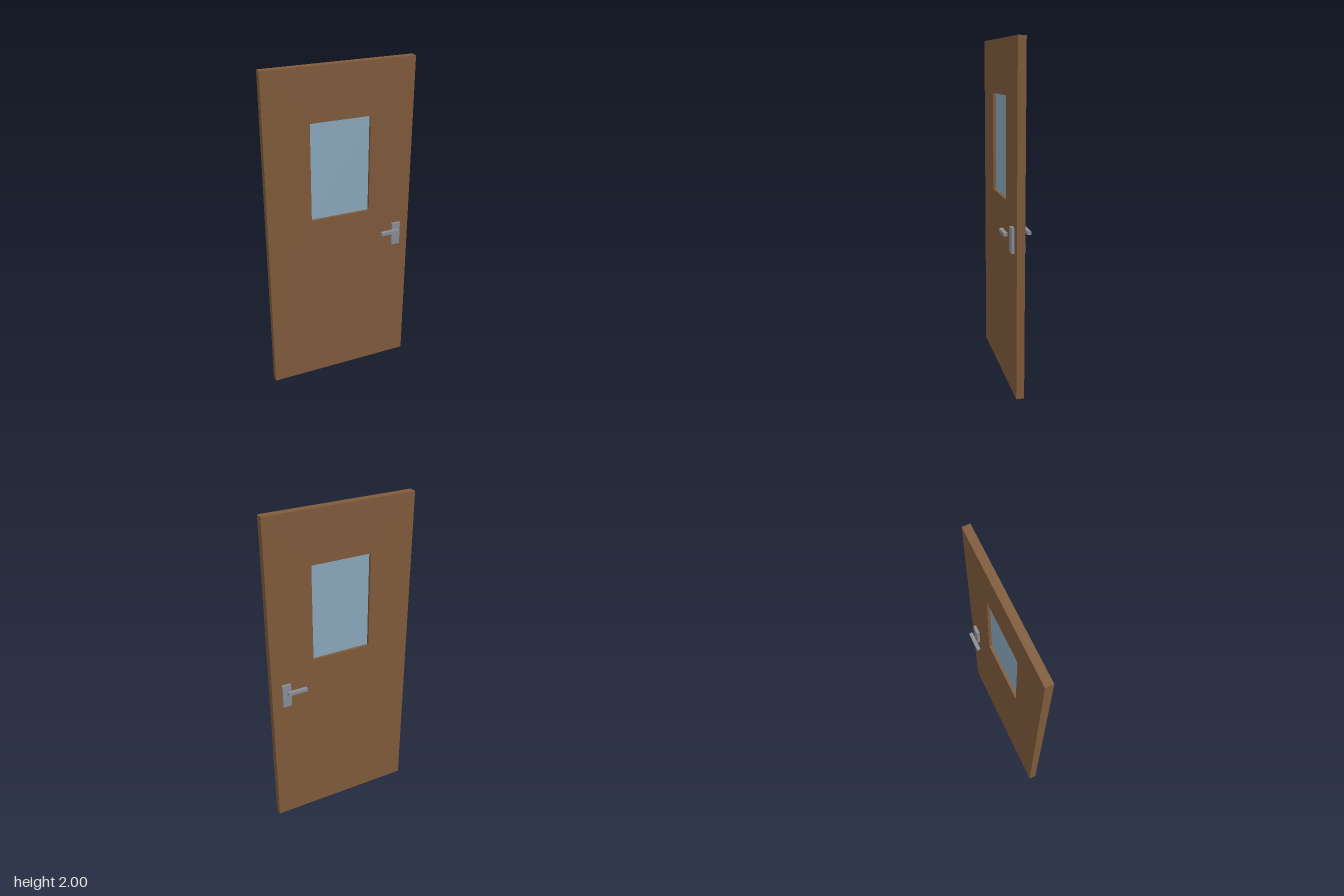
import * as THREE from 'three';

const material = (name, color) => {
  const m = new THREE.MeshStandardMaterial({ color });
  m.name = name;
  return m;
};

export function createModel() {
  const wood = material('wood', 0x805b3b);
  const glass = material('glass', 0x8aa9be);
  const metal = material('metal', 0x8b8d96);

  const door = new THREE.Group();
  door.name = 'door';

  const addBox = (name, mat, size, position) => {
    const mesh = new THREE.Mesh(new THREE.BoxGeometry(...size), mat);
    mesh.name = name;
    mesh.position.set(...position);
    door.add(mesh);
  };

  // Door leaf with a rectangular window opening
  const width = 0.903, height = 2, depth = 0.046;
  const paneWidth = 0.365, paneBottom = 1.1, paneTop = 1.688;
  const rectangle = (target, w, y0, y1) => {
    target.moveTo(-w / 2, y0);
    target.lineTo(w / 2, y0);
    target.lineTo(w / 2, y1);
    target.lineTo(-w / 2, y1);
    target.closePath();
    return target;
  };
  const outline = rectangle(new THREE.Shape(), width, 0, height);
  outline.holes.push(rectangle(new THREE.Path(), paneWidth, paneBottom, paneTop));
  const leafGeometry = new THREE.ExtrudeGeometry(outline, { depth, bevelEnabled: false });
  leafGeometry.translate(0, 0, -depth / 2);
  const leaf = new THREE.Mesh(leafGeometry, wood);
  leaf.name = 'doorLeaf';
  door.add(leaf);

  // Recessed window pane
  addBox('windowPane', glass, [paneWidth, paneTop - paneBottom, 0.013],
    [0, (paneTop + paneBottom) / 2, 0]);

  // Mounting plate and lever on both faces
  for (const [side, s] of [['front', 1], ['back', -1]]) {
    addBox(side + 'HandlePlate', metal, [0.054, 0.145, 0.017], [0.364, 0.912, s * 0.0315]);
    addBox(side + 'HandleLever', metal, [0.12, 0.02, 0.022], [0.31, 0.945, s * 0.068]);
  }

  return door;
}
